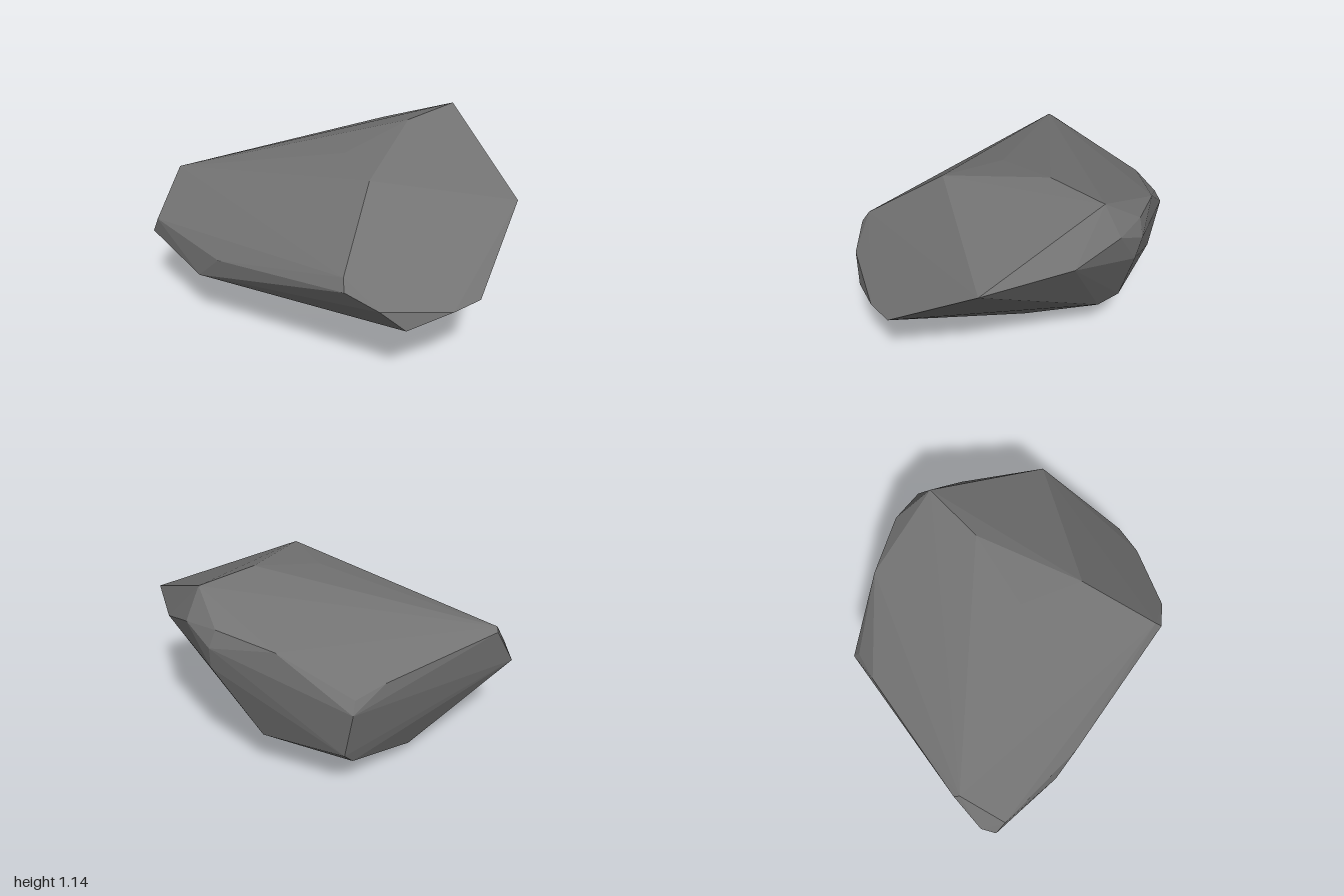
import * as THREE from 'three';
import { ConvexGeometry } from 'three/addons/geometries/ConvexGeometry.js';

// Corners of the faceted boulder, grouped by region
const top = [
  [0.65, 1.137, 0.262], [0.28, 1.13, 0.19], [-0.13, 1.028, 0.04], [-0.32, 1.02, 0.35],
];
const front = [
  [0.316, 0.815, 0.9], [-0.22, 0.484, 0.998], [-0.39, 0.475, 0.94],
  [-0.63, 0.446, 0.77], [-0.61, 0.42, 0.795], [-0.71, 0.55, 0.7],
];
const leftEdge = [
  [-0.757, 0.705, 0.51], [-0.79, 0.645, 0.54], [-0.795, 0.52, -0.33],
  [-0.785, 0.36, -0.5], [-0.71, 0.56, -0.9],
];
const back = [
  [-0.695, 0.455, -0.965], [-0.617, 0.504, -1], [-0.45, 0.79, -0.955], [-0.425, 0.77, -0.974],
  [0.341, 0.735, -0.714], [0.51, 0.69, -0.637], [0.548, 0.62, -0.652],
  [0.52, 0.32, -0.587], [0.44, 0.24, -0.587],
];
const rightEdge = [
  [0.67, 0.917, -0.25], [0.757, 0.985, 0.065], [0.79, 0.884, 0.087], [0.755, 0.972, 0.267],
  [0.637, 0.874, 0.515], [0.765, 0.748, 0.105],
];
const base = [
  [0.588, 0.293, -0.09], [0.5, 0.223, -0.01], [0.07, 0.048, 0.126],
  [-0.163, 0, 0.03], [-0.257, 0.017, -0.24], [-0.05, 0.097, -0.657],
];

export function createModel() {
  const stone = new THREE.MeshStandardMaterial({ color: 0x737373 });
  stone.name = 'grey stone';

  // The hull of the corners gives flat, hard-edged facets
  const corners = [top, front, leftEdge, back, rightEdge, base].flat()
    .map((p) => new THREE.Vector3(...p));
  const boulder = new THREE.Mesh(new ConvexGeometry(corners), stone);
  boulder.name = 'boulder';

  const model = new THREE.Group();
  model.name = 'rock';
  model.add(boulder);
  return model;
}
